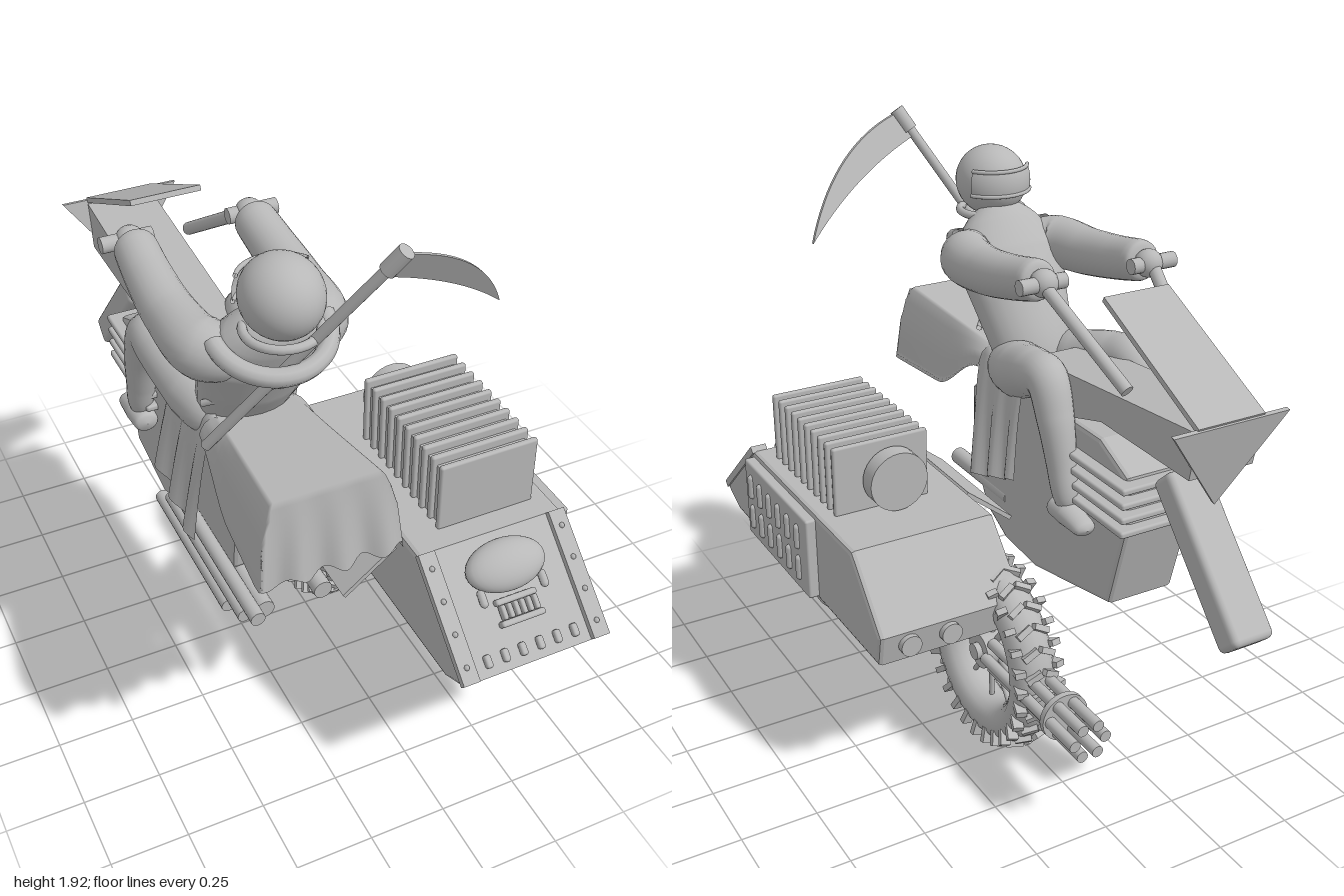
import * as THREE from 'three';
import { RoundedBoxGeometry } from 'three/addons/geometries/RoundedBoxGeometry.js';
import { ParametricGeometry } from 'three/addons/geometries/ParametricGeometry.js';

const grey = new THREE.MeshStandardMaterial({ color: 0xb8b8b8, side: THREE.DoubleSide });
grey.name = 'plain grey';
const V = (x, y, z) => new THREE.Vector3(x, y, z);
const BX = -0.31; // centre line of bike and rider

function add(parent, name, geo, x = 0, y = 0, z = 0, rx = 0, ry = 0, rz = 0) {
  const m = new THREE.Mesh(geo, grey);
  m.name = name;
  m.position.set(x, y, z);
  m.rotation.set(rx, ry, rz);
  parent.add(m);
  return m;
}
const box = (w, h, d) => new THREE.BoxGeometry(w, h, d);
const rbox = (w, h, d, r) => new RoundedBoxGeometry(w, h, d, 2, r);

// round bar between two points
function bar(parent, name, a, b, r, r2 = r) {
  const m = add(parent, name, new THREE.CylinderGeometry(r2, r, a.distanceTo(b), 16));
  m.position.copy(a).add(b).multiplyScalar(0.5);
  m.quaternion.setFromUnitVectors(V(0, 1, 0), b.clone().sub(a).normalize());
  return m;
}
// side outline of [z, y] points extruded from x0 to x1
function sideProfile(pts, x0, x1, bevel = 0) {
  const s = new THREE.Shape(pts.map(p => new THREE.Vector2(p[0], p[1])));
  const g = new THREE.ExtrudeGeometry(s, { depth: x1 - x0 - 2 * bevel, bevelEnabled: bevel > 0,
    bevelSize: bevel, bevelThickness: bevel, bevelOffset: -bevel, bevelSegments: 2 });
  return g.rotateY(-Math.PI / 2).translate(x1 - bevel, 0, 0);
}
// smooth limb: [x, y, z, halfWidth, halfDepth] stations joined by a curve, with rounded ends
function limb(stations) {
  const path = new THREE.CatmullRomCurve3(stations.map(s => V(s[0], s[1], s[2])));
  const n = stations.length - 1;
  return new ParametricGeometry((u, v, target) => {
    const i = Math.min(Math.floor(v * n), n - 1), f = v * n - i;
    const cap = Math.sqrt(Math.max(0, 1 - Math.pow(Math.abs(2 * v - 1), 14)));
    const r = k => THREE.MathUtils.lerp(stations[i][k] ?? stations[i][3], stations[i + 1][k] ?? stations[i + 1][3], f) * cap;
    const t = path.getTangent(v), side = V(1, 0, 0).addScaledVector(t, -t.x).normalize();
    const deep = t.clone().cross(side), a = u * Math.PI * 2;
    target.copy(path.getPoint(v)).addScaledVector(side, Math.cos(a) * r(3)).addScaledVector(deep, Math.sin(a) * r(4));
  }, 24, 36);
}

function buildSidecar(root) {
  const g = new THREE.Group(); g.name = 'sidecar'; root.add(g);
  add(g, 'sidecarBody', sideProfile([[1, 0.535], [0.9, 0.485], [-0.27, 0.485], [-0.29, 0.59], [-0.1, 0.8], [0.7, 0.8]], 0.03, 0.53, 0.015));
  // finned engine block and round lamp
  add(g, 'engineBlock', box(0.3, 0.21, 0.47), 0.31, 0.9, 0.375);
  for (let i = 0; i < 10; i++) add(g, 'engineFin', rbox(0.332, 0.24, 0.02, 0.008), 0.31, 0.915, 0.615 - i * 0.053);
  add(g, 'roundLamp', new THREE.CylinderGeometry(0.1, 0.1, 0.06, 32), 0.28, 0.905, 0.09, Math.PI / 2);
  // louvred side panel
  add(g, 'sidePanel', rbox(0.04, 0.285, 0.53, 0.008), 0.545, 0.643, 0.432);
  for (let i = 0; i < 6; i++) for (const y of [0.7, 0.585])
    add(g, 'louvre', new THREE.CapsuleGeometry(0.013, 0.065, 4, 8), 0.566, y, 0.64 - i * 0.08);
  for (const x of [0.29, 0.43]) add(g, 'smallLamp', new THREE.CylinderGeometry(0.035, 0.035, 0.04, 20), x, 0.545, -0.285, Math.PI / 2);
  add(g, 'underDisc', new THREE.CylinderGeometry(0.184, 0.184, 0.085, 40), 0.402, 0.53, 0.375, 0, 0, Math.PI / 2);
  // sloping nose with rails, rivets, slots and skull ornament
  const nose = new THREE.Group(); nose.name = 'nosePlate';
  nose.position.set(0.28, 0.668, 0.85); nose.rotation.x = -0.85; g.add(nose);
  for (const s of [-1, 1]) {
    add(nose, 'rail', box(0.055, 0.4, 0.025), s * 0.225, 0, 0.008);
    for (let i = 0; i < 4; i++) add(nose, 'rivet', new THREE.SphereGeometry(0.009, 8, 6), s * 0.225, -0.15 + i * 0.1, 0.02);
    add(nose, 'cheek', new THREE.CapsuleGeometry(0.013, 0.03, 4, 10), s * 0.105, 0.02, 0.02);
  }
  for (let i = 0; i < 6; i++) add(nose, 'slot', rbox(0.022, 0.04, 0.024, 0.008), -0.15 + i * 0.06, -0.155, 0.008);
  const skull = add(nose, 'skull', new THREE.SphereGeometry(1, 28, 18), 0, 0.095, 0.025);
  skull.scale.set(0.133, 0.08, 0.055);
  add(nose, 'jaw', rbox(0.15, 0.02, 0.035, 0.008), 0, -0.07, 0.012);
  add(nose, 'upperJaw', rbox(0.14, 0.02, 0.03, 0.008), 0, -0.005, 0.012);
  for (let i = 0; i < 6; i++) add(nose, 'tooth', rbox(0.016, 0.045, 0.03, 0.006), -0.055 + i * 0.022, -0.037, 0.018);
  add(g, 'linkPlate', box(0.215, 0.015, 0.5), -0.075, 0.702, 0.36, 0, 0, 0.67);
}

function buildWheel(root) {
  const g = new THREE.Group(); g.name = 'wheel'; g.position.set(0.062, 0.338, -0.15); root.add(g);
  const tire = add(g, 'tire', new THREE.TorusGeometry(0.255, 0.068, 16, 56), 0, 0, 0, 0, Math.PI / 2);
  tire.scale.z = 1.08;
  const rim = [[0.2, -0.04], [0.215, -0.055], [0.215, 0.055], [0.2, 0.04], [0.2, -0.04]].map(p => new THREE.Vector2(...p));
  add(g, 'rim', new THREE.LatheGeometry(rim, 48), 0, 0, 0, 0, 0, Math.PI / 2);
  add(g, 'hub', new THREE.CylinderGeometry(0.062, 0.062, 0.1, 28), 0, 0, 0, 0, 0, Math.PI / 2);
  add(g, 'axle', new THREE.CylinderGeometry(0.028, 0.028, 0.14, 16), 0, 0, 0, 0, 0, Math.PI / 2);
  for (let i = 0; i < 10; i++) {
    const a = i * Math.PI / 5, c = Math.cos(a), s = Math.sin(a);
    bar(g, 'spoke', V(0, c * 0.05, s * 0.05), V(0, c * 0.205, s * 0.205), 0.011, 0.008);
  }
  // chevron tread blocks
  for (let i = 0; i < 28; i++) {
    const tread = new THREE.Group(); tread.name = 'tread';
    tread.rotation.x = i * Math.PI / 14; g.add(tread);
    for (const s of [-1, 1]) {
      add(tread, 'treadBlock', box(0.055, 0.026, 0.02), s * 0.028, 0.32, 0, 0, s * 0.45, -s * 0.25);
      add(tread, 'treadShoulder', box(0.035, 0.05, 0.02), s * 0.064, 0.292, 0.016, 0, 0, -s * 0.3);
    }
  }
  // barrel cluster
  for (let i = 0; i < 6; i++) {
    const a = i * Math.PI / 3, x = Math.cos(a) * 0.054, y = Math.sin(a) * 0.054;
    bar(g, 'barrel', V(x, y, -0.05), V(x, y, -0.59), 0.019);
  }
  add(g, 'barrelClamp', new THREE.CylinderGeometry(0.08, 0.08, 0.02, 24), 0, 0, -0.44, Math.PI / 2);
}

function buildBike(root) {
  const g = new THREE.Group(); g.name = 'bike'; root.add(g);
  add(g, 'bikeBody', sideProfile([[-0.36, 1.12], [-0.51, 1.05], [-0.52, 0.88], [-0.44, 0.58], [-0.2, 0.53], [0, 0.49],
    [0.2, 0.505], [0.33, 0.57], [0.41, 0.7], [0.43, 0.86], [0.43, 1.0], [0.3, 1.06], [0, 1.12]], -0.435, -0.19, 0.015));
  for (let i = 0; i < 4; i++) add(g, 'coolingPlate', rbox(0.325, 0.022, 0.36, 0.008), BX, 1.03 - i * 0.048, -0.375);
  add(g, 'frontBeam', sideProfile([[0.05, 1.24], [-0.82, 1.32], [-0.79, 1.165], [-0.35, 1.17], [0.05, 1.05]], -0.425, -0.2));
  add(g, 'windscreen', box(0.23, 0.018, 0.53), BX, 1.445, -0.583, -0.45);
  // arrow shaped shield
  const tri = new THREE.Shape([new THREE.Vector2(-0.2, 0), new THREE.Vector2(0, -0.28), new THREE.Vector2(0.2, 0)]);
  add(g, 'shield', new THREE.ExtrudeGeometry(tri, { depth: 0.015, bevelEnabled: false }), BX, 1.33, -0.83, -0.2);
  add(g, 'forkLeg', rbox(0.145, 0.54, 0.1, 0.02), BX, 0.887, -0.787, 0.746);
  for (const s of [-1, 1]) {
    bar(g, 'handlebarRod', V(BX + s * 0.2, 1.565, -0.14), V(BX + s * 0.125, 1.33, -0.5), 0.021);
    bar(g, 'grip', V(BX + s * 0.12, 1.56, -0.145), V(BX + s * 0.28, 1.56, -0.145), 0.025);
    bar(g, 'rearPipe', V(BX + s * 0.095, 0.66, 0.2), V(BX + s * 0.095, 0.66, 0.58), 0.03);
  }
  [[0.705, 0.1, 0.65], [0.63, -0.05, 0.55], [0.555, -0.15, 0.42]].forEach(([y, z0, z1]) =>
    bar(g, 'sidePipe', V(-0.458, y, z0), V(-0.458, y, z1), 0.023));
}

function buildRider(root) {
  const g = new THREE.Group(); g.name = 'rider'; g.position.x = BX; root.add(g);
  add(g, 'torso', limb([[0, 1.06, 0.2, 0.12, 0.1], [0, 1.18, 0.22, 0.14, 0.11], [0, 1.34, 0.31, 0.17, 0.12],
    [0, 1.47, 0.39, 0.2, 0.11], [0, 1.56, 0.45, 0.14, 0.09], [0, 1.62, 0.49, 0.07, 0.07]]));
  for (const s of [-1, 1]) {
    add(g, 'arm', limb([[s * 0.08, 1.48, 0.42, 0.08], [s * 0.17, 1.49, 0.37, 0.09], [s * 0.195, 1.5, 0.2, 0.078],
      [s * 0.195, 1.53, 0.02, 0.07], [s * 0.19, 1.555, -0.09, 0.066], [s * 0.19, 1.56, -0.12, 0.06]]));
    add(g, 'glove', new THREE.SphereGeometry(0.045, 16, 12), s * 0.19, 1.56, -0.14);
    add(g, 'leg', limb([[s * 0.08, 1.14, 0.27, 0.09], [s * 0.11, 1.17, 0.12, 0.095], [s * 0.15, 1.225, -0.04, 0.078],
      [s * 0.16, 1.235, -0.12, 0.068], [s * 0.165, 1.13, -0.18, 0.06], [s * 0.165, 0.98, -0.225, 0.048], [s * 0.165, 0.84, -0.26, 0.042]]));
    add(g, 'boot', limb([[s * 0.165, 0.835, -0.19, 0.04, 0.035], [s * 0.165, 0.835, -0.27, 0.045, 0.04], [s * 0.165, 0.822, -0.38, 0.038, 0.024]]));
    // hanging coat side
    add(g, 'coatFlap', new ParametricGeometry((u, v, p) => p.set(
      s * (0.12 + 0.085 * Math.sqrt(v) + 0.018 * v * Math.sin(u * 16)),
      1.2 - v * (0.36 + 0.1 * u) + 0.01 * Math.sin(u * 16), 0.04 + 0.29 * u - 0.04 * v), 28, 12));
    const straps = new THREE.CatmullRomCurve3([V(s * 0.16, 1.26, 0.31), V(0, 1.37, 0.455), V(-s * 0.17, 1.48, 0.45)]);
    add(g, 'strap', new THREE.TubeGeometry(straps, 16, 0.011, 8));
    add(g, 'collarTab', box(0.05, 0.012, 0.025), s * 0.065, 1.55, 0.36);
  }
  // coat tail blown backwards, dropping at its end
  const ease = THREE.MathUtils.smoothstep;
  add(g, 'coatTail', new ParametricGeometry((u, v, p) => {
    const across = 2 * u - 1, along = Math.min(v / 0.7, 1), fall = Math.max(0, (v - 0.7) / 0.3);
    const edge = ease(Math.abs(across), 0.72, 1), top = 1.2 + 0.06 * along;
    const hem = 1.14 - 0.14 * ease(along, 0, 0.5) + 0.012 * Math.sin(u * 30);
    const drop = Math.max(edge, fall);
    p.set(Math.max(-1, Math.min(1, across / 0.85)) * (0.14 + 0.05 * along + 0.03 * drop),
      top + (hem - top) * drop, 0.3 + 0.5 * along + 0.03 * fall + 0.012 * fall * Math.sin(u * 25));
  }, 40, 28));
  // helmet, visor and collars
  const helmet = add(g, 'helmet', new THREE.SphereGeometry(0.12, 32, 24), 0, 1.695, 0.51);
  helmet.scale.set(0.97, 0.97, 1.07);
  add(g, 'visor', new THREE.SphereGeometry(0.131, 24, 10, Math.PI * 1.5 - 1.05, 2.1, 1.15, 0.62), 0, 1.695, 0.51);
  for (const t of [1.15, 1.77])
    add(g, 'visorRim', new THREE.TorusGeometry(0.131 * Math.sin(t), 0.007, 8, 24, 2.1), 0, 1.695 + 0.131 * Math.cos(t), 0.51, -Math.PI / 2, 0, Math.PI / 2 - 1.05);
  add(g, 'neckRing', new THREE.TorusGeometry(0.105, 0.014, 10, 32), 0, 1.595, 0.51, Math.PI / 2);
  add(g, 'cowl', new THREE.TorusGeometry(0.165, 0.028, 10, 28, Math.PI), 0, 1.545, 0.43, Math.PI / 2 + 0.35);
}

function buildScythe(root) {
  const g = new THREE.Group(); g.name = 'scythe'; root.add(g);
  bar(g, 'scytheHandle', V(-0.49, 1.16, 0.375), V(-0.088, 1.9, 0.755), 0.016);
  bar(g, 'scytheSocket', V(-0.12, 1.84, 0.725), V(-0.085, 1.905, 0.757), 0.024);
  const s = new THREE.Shape();
  s.moveTo(-0.1, 1.9);
  s.quadraticCurveTo(0.17, 1.83, 0.315, 1.55);
  s.quadraticCurveTo(0.12, 1.73, -0.12, 1.82);
  const blade = new THREE.ExtrudeGeometry(s, { depth: 0.012, bevelEnabled: false, curveSegments: 18 });
  // lean the blade with the handle
  const p = blade.attributes.position;
  for (let i = 0; i < p.count; i++) p.setZ(i, p.getZ(i) + 0.745 - 0.5 * (1.89 - p.getY(i)));
  blade.computeVertexNormals();
  add(g, 'scytheBlade', blade);
}

export function createModel() {
  const root = new THREE.Group();
  root.name = 'motorcycleWithSidecar';
  [buildSidecar, buildWheel, buildBike, buildRider, buildScythe].forEach(build => build(root));
  return root;
}
